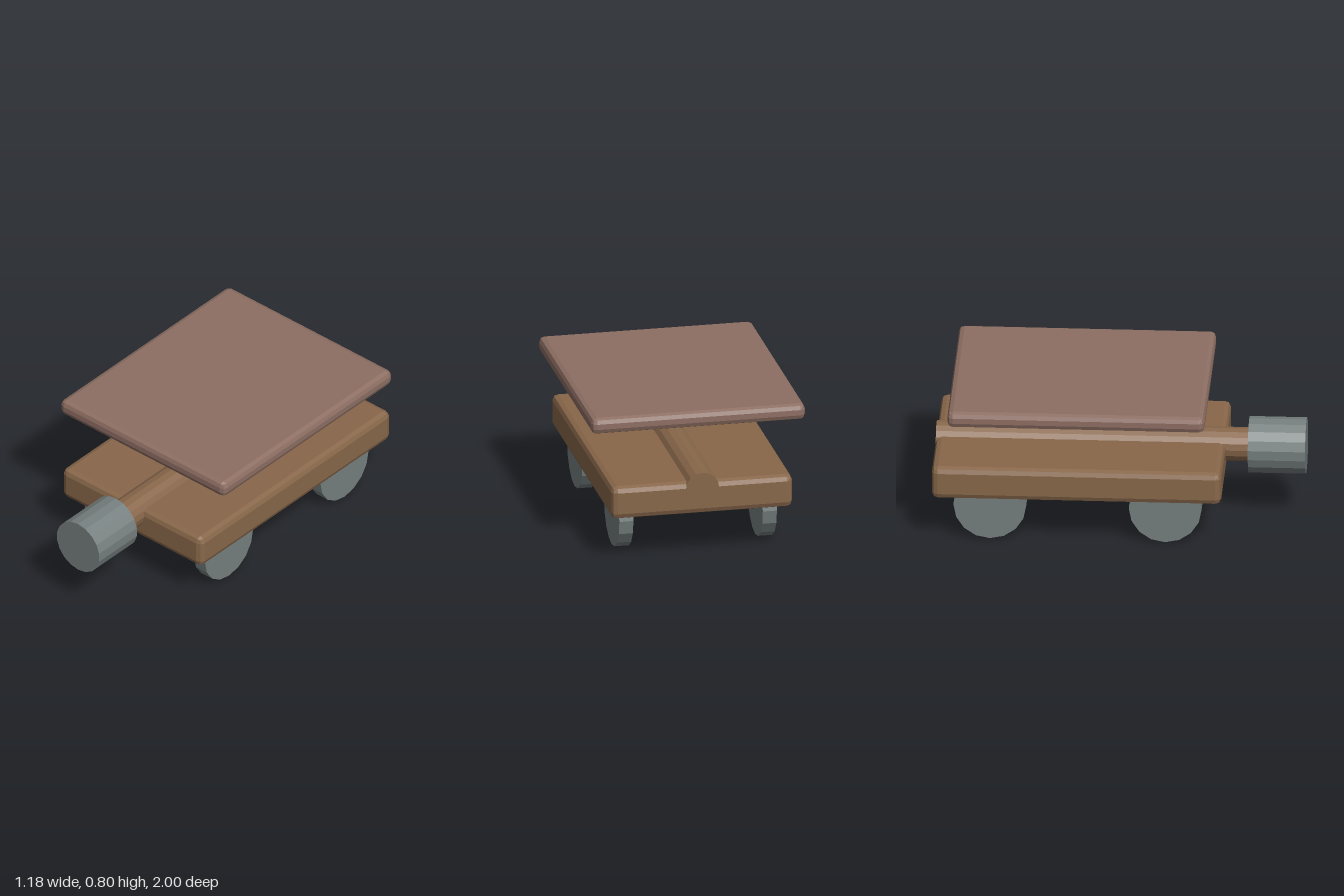
import * as THREE from 'three';
import { RoundedBoxGeometry } from 'three/addons/geometries/RoundedBoxGeometry.js';

const material = (color) => new THREE.MeshStandardMaterial({ color, flatShading: true });

export function createModel() {
  const model = new THREE.Group();
  model.name = 'batteringRam';
  const wood = material(0x88674a);
  const roofWood = material(0x8d6e63);
  const metal = material(0x757e7e);

  const add = (name, geometry, mat, x, y, z) => {
    const mesh = new THREE.Mesh(geometry, mat);
    mesh.name = name;
    mesh.position.set(x, y, z);
    model.add(mesh);
  };

  // Bevelled cart bed and the roof floating above it
  add('cartBed', new RoundedBoxGeometry(1.0, 0.185, 1.565, 1, 0.033), wood, 0, 0.342, -0.217);
  add('roof', new RoundedBoxGeometry(1.18, 0.09, 1.39, 1, 0.03), roofWood, 0, 0.757, -0.215);

  // Log lying along the bed, with a metal head at the front
  const log = new THREE.CylinderGeometry(0.092, 0.092, 1.69, 16).rotateX(Math.PI / 2);
  add('ramLog', log, wood, 0, 0.395, -0.155);
  const head = new THREE.CylinderGeometry(0.153, 0.153, 0.31, 18).rotateX(Math.PI / 2);
  add('ramHead', head, metal, 0, 0.395, 0.845);

  // Four wheels set into the underside
  const wheel = new THREE.CylinderGeometry(0.197, 0.197, 0.078, 16).rotateZ(Math.PI / 2);
  for (const [side, x] of [['left', 0.396], ['right', -0.396]]) {
    for (const [end, z] of [['Front', 0.26], ['Back', -0.688]]) {
      add(`${side}${end}Wheel`, wheel, metal, x, 0.197, z);
    }
  }

  return model;
}
